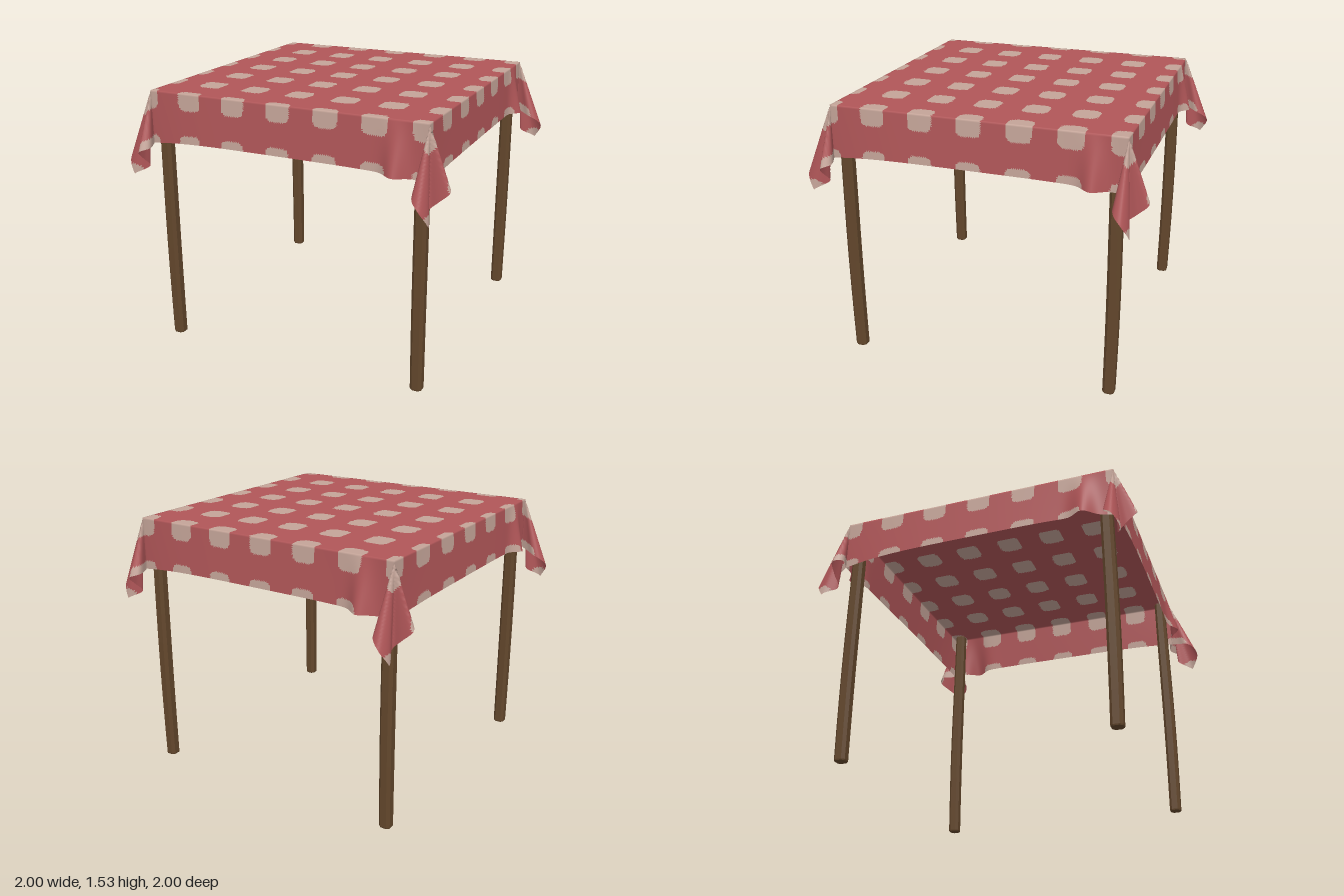
import * as THREE from 'three';

const EDGE = 0.835;   // half width of the flat top
const DROP = 0.28;    // cloth overhang
const HEIGHT = 1.535;

// Outline of the gathered corner folds at the hem: one long lobe, one short lobe
const fold = new THREE.CatmullRomCurve3([
  [0, 0], [-0.02, 0.05], [-0.045, 0.1], [-0.03, 0.145], [0.015, 0.165], [0.05, 0.12],
  [0.015, 0.03], [0.07, 0.03], [0.125, 0.02], [0.09, -0.03], [0, 0],
].map(([x, z]) => new THREE.Vector3(x, 0, z)));

// Position of a point hanging over the front edge or the front left corner
function hang(u, v) {
  const b = v - EDGE;
  if (u <= EDGE) {
    const t = (u / EDGE) ** 4;
    const bulge = 0.02 * (1 - t) + 0.06 * Math.exp(-(((u - 0.66) / 0.06) ** 2));
    return [u, HEIGHT - b * (0.99 + 0.11 * t), EDGE + bulge * b / DROP];
  }
  const a = u - EDGE;
  const angle = Math.atan2(b, a);
  const out = fold.getPoint(angle / (Math.PI / 2)).multiplyScalar(Math.max(a, b) / DROP);
  const length = Math.hypot(a, b) * (1.1 + 0.2 * Math.sin(2 * angle));
  const fall = Math.sqrt(Math.max(length ** 2 - out.lengthSq(), 0));
  return [EDGE + out.x, HEIGHT - fall, EDGE + out.z];
}

// Drape any point of the flat cloth; the four sides repeat by quarter turns
function drape(u, v) {
  if (Math.abs(u) <= EDGE && Math.abs(v) <= EDGE) return [u, HEIGHT, v];
  let turns = 0;
  while (!(v > EDGE && u >= -EDGE) && turns < 4) {
    [u, v] = [v, -u];
    turns++;
  }
  let [x, y, z] = hang(u, v);
  for (; turns > 0; turns--) [x, z] = [-z, x];
  return [x, y, z];
}

// Distance from the nearest check centre along one axis
function checkOffset(c, shift) {
  if (Math.abs(c) > EDGE) return (Math.abs(c) - 0.86 + 1.26) % 0.28 - 0.14;
  return c - shift - 0.28 * Math.round((c - shift) / 0.28);
}

function isCheck(u, v) {
  return checkOffset(u, -0.02) ** 4 + checkOffset(v, 0.02) ** 4 < 0.071 ** 4;
}

function createCloth(red, cream) {
  // Grid lines, with exact lines on the table edges
  const lines = [];
  for (let i = 0; i < 28; i++) lines.push(-EDGE - DROP + DROP * i / 28);
  for (let i = 0; i <= 150; i++) lines.push(i === 150 ? EDGE : -EDGE + 2 * EDGE * i / 150);
  for (let i = 1; i <= 28; i++) lines.push(EDGE + DROP * i / 28);
  const n = lines.length;

  const positions = [];
  for (const u of lines) for (const v of lines) positions.push(...drape(u, v));

  // Sort the triangles into ground and check colours
  const faces = [[], []];
  const add = (...corners) => {
    let u = 0, v = 0;
    for (const c of corners) {
      u += lines[Math.floor(c / n)] / 3;
      v += lines[c % n] / 3;
    }
    faces[isCheck(u, v) ? 1 : 0].push(...corners);
  };
  for (let i = 0; i < n - 1; i++) {
    for (let j = 0; j < n - 1; j++) {
      const a = i * n + j, b = a + 1, c = a + n, d = c + 1;
      add(a, b, c);
      add(b, d, c);
    }
  }

  const geometry = new THREE.BufferGeometry();
  geometry.setAttribute('position', new THREE.Float32BufferAttribute(positions, 3));
  geometry.setIndex(faces[0].concat(faces[1]));
  geometry.addGroup(0, faces[0].length, 0);
  geometry.addGroup(faces[0].length, faces[1].length, 1);
  geometry.computeVertexNormals();
  const mesh = new THREE.Mesh(geometry, [red, cream]);
  mesh.name = 'tablecloth';
  return mesh;
}

// Square post with chamfered edges and a slightly uneven, hand-hewn run
function createLegGeometry() {
  const w = 0.028, c = 0.016;
  const section = new THREE.Shape([
    [-w, -c], [-c, -w], [c, -w], [w, -c], [w, c], [c, w], [-c, w], [-w, c],
  ].map(([x, y]) => new THREE.Vector2(x, y)));
  const geometry = new THREE.ExtrudeGeometry(section, {
    depth: 1.51, steps: 8, bevelThickness: 0.01, bevelSize: 0.007, bevelSegments: 2,
  });
  geometry.rotateX(-Math.PI / 2);
  geometry.translate(0, 0.01, 0);
  const p = geometry.attributes.position;
  for (let i = 0; i < p.count; i++) {
    const y = p.getY(i);
    const swell = 0.97 + 0.05 * Math.sin(y * 2.2);
    p.setX(i, p.getX(i) * swell);
    p.setZ(i, p.getZ(i) * swell + 0.004 * Math.sin(y * 3));
  }
  geometry.computeVertexNormals();
  return geometry;
}

export function createModel() {
  const red = new THREE.MeshStandardMaterial({ color: 0xb05658, side: THREE.DoubleSide });
  red.name = 'red cloth';
  const cream = new THREE.MeshStandardMaterial({ color: 0xc4a498, side: THREE.DoubleSide });
  cream.name = 'cream checks';
  const wood = new THREE.MeshStandardMaterial({ color: 0x63472c });
  wood.name = 'brown wood';

  const model = new THREE.Group();
  model.name = 'table';
  model.add(createCloth(red, cream));

  const legGeometry = createLegGeometry();
  for (const x of [-1, 1]) {
    for (const z of [-1, 1]) {
      const leg = new THREE.Mesh(legGeometry, wood);
      leg.name = (z > 0 ? 'front' : 'back') + (x > 0 ? 'Left' : 'Right') + 'Leg';
      leg.position.set(x * 0.785, 0, z * 0.778);
      if (z < 0) leg.rotation.y = Math.PI;
      model.add(leg);
    }
  }
  return model;
}
